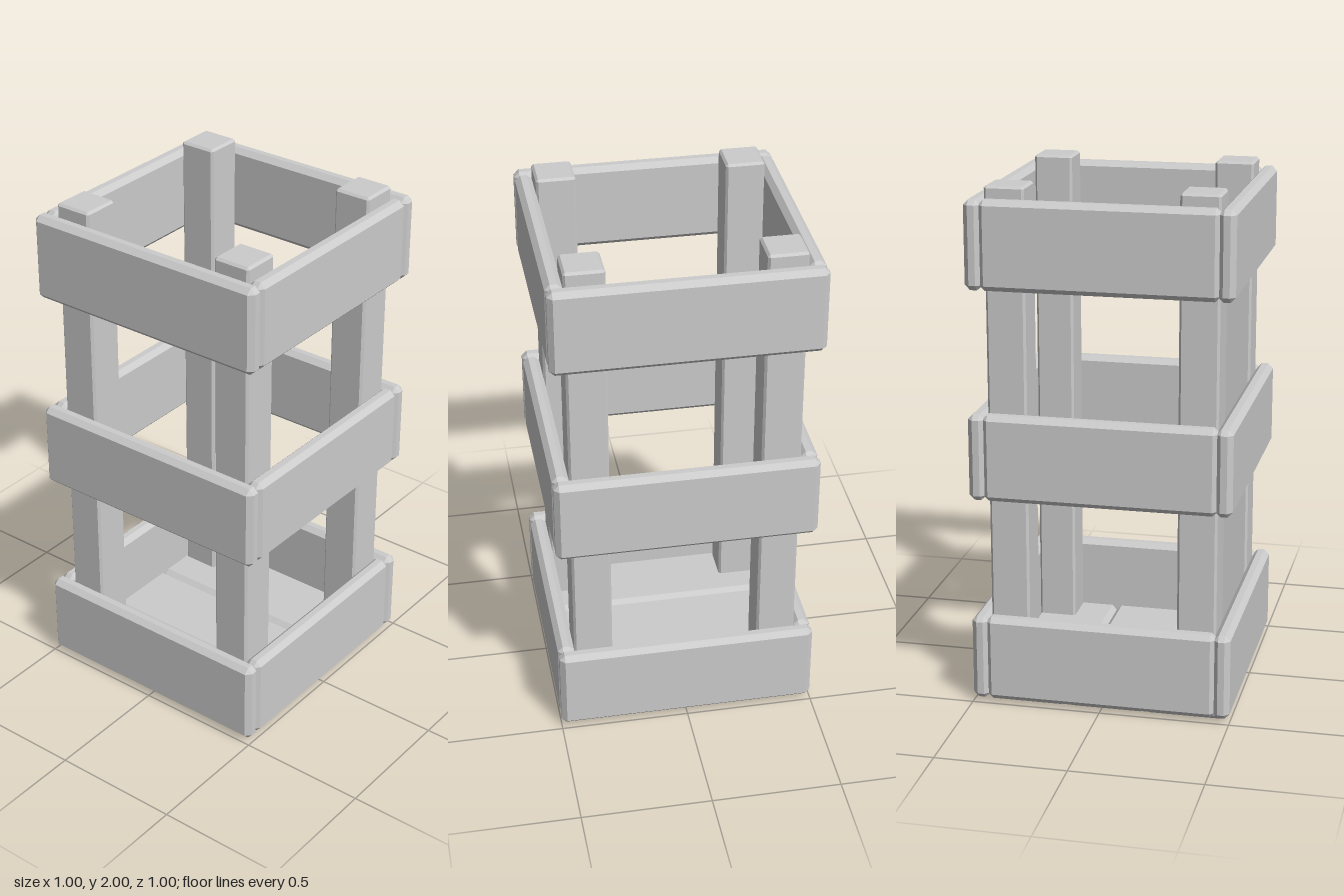
import * as THREE from 'three';
import { ConvexGeometry } from 'three/addons/geometries/ConvexGeometry.js';

const material = new THREE.MeshStandardMaterial({ color: 0xcccccc, flatShading: true });

// Box with every edge cut at 45 degrees by c
function chamferedBox(w, h, d, c) {
  const points = [];
  for (const sx of [-1, 1]) for (const sy of [-1, 1]) for (const sz of [-1, 1]) {
    const x = w / 2, y = h / 2, z = d / 2;
    points.push(
      new THREE.Vector3(sx * x, sy * (y - c), sz * (z - c)),
      new THREE.Vector3(sx * (x - c), sy * y, sz * (z - c)),
      new THREE.Vector3(sx * (x - c), sy * (y - c), sz * z)
    );
  }
  return new ConvexGeometry(points);
}

export function createModel() {
  const model = new THREE.Group();
  model.name = 'slattedCrate';

  const add = (name, geometry, x, y, z) => {
    const mesh = new THREE.Mesh(geometry, material);
    mesh.name = name;
    mesh.position.set(x, y, z);
    model.add(mesh);
  };

  // Corner posts
  const post = chamferedBox(0.15, 1.96, 0.15, 0.009);
  for (const sx of [-1, 1]) for (const sz of [-1, 1]) {
    add('cornerPost', post, sx * 0.361, 1.02, sz * 0.361);
  }

  // Three rings of boards; the side boards cover the ends of the front and back ones
  const sideBoard = chamferedBox(0.065, 0.335, 1, 0.02);
  const endBoard = chamferedBox(0.89, 0.335, 0.065, 0.02);
  for (const y of [0.183, 0.985, 1.79]) {
    for (const s of [-1, 1]) {
      add(s > 0 ? 'leftBoard' : 'rightBoard', sideBoard, s * 0.4675, y, 0);
      add(s > 0 ? 'frontBoard' : 'backBoard', endBoard, 0, y, s * 0.4675);
    }
  }

  // Floor planks
  const plank = chamferedBox(0.31, 0.065, 0.94, 0.02);
  for (let i = -1; i <= 1; i++) add('floorPlank', plank, -0.015 + i * 0.31, 0.0325, 0);

  return model;
}
